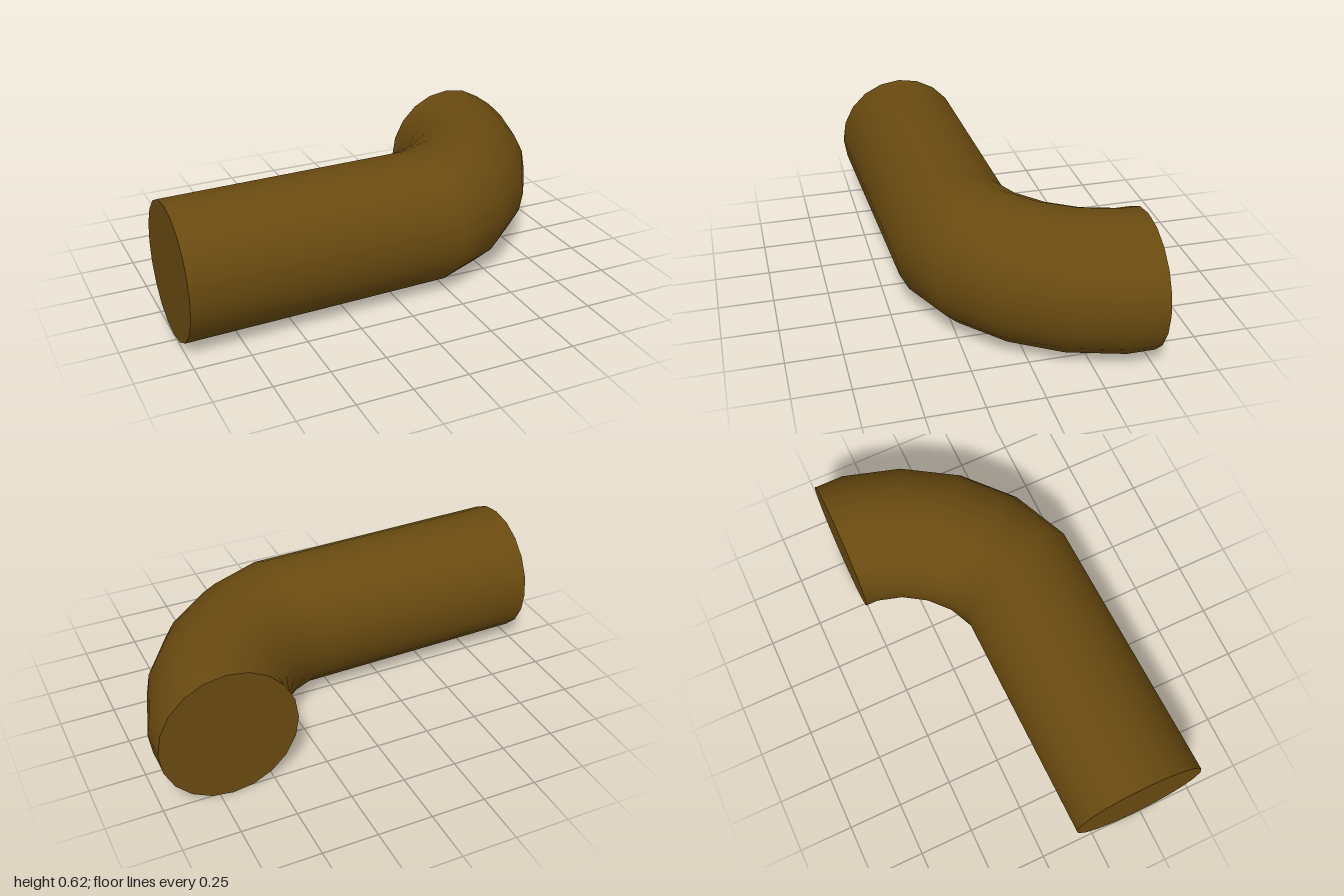
import * as THREE from 'three';

const SIDES = 20, RADIUS = 0.308;

// Each ring of the pipe: [inner x, inner z, outer x, outer z]
const RINGS = [
  [-1, -0.1, -1, 0.515],
  [0.09, -0.12, 0.27, 0.47],
  [0.2, -0.17, 0.54, 0.35],
  [0.29, -0.25, 0.76, 0.155],
  [0.355, -0.35, 0.915, -0.09],
  [0.388, -0.46, 1, -0.37],
  [0.388, -0.515, 1, -0.515],
];

// Smooth skin swept through the rings
function pipeGeometry() {
  const positions = [], indices = [];
  RINGS.forEach(([ix, iz, ox, oz], i) => {
    for (let j = 0; j < SIDES; j++) {
      const a = (j / SIDES) * Math.PI * 2;
      const t = (1 + Math.cos(a)) / 2;
      positions.push(ix + (ox - ix) * t, RADIUS * (1 + Math.sin(a)), iz + (oz - iz) * t);
      if (i === RINGS.length - 1) continue;
      const k = (j + 1) % SIDES;
      const p = i * SIDES, q = p + SIDES;
      indices.push(p + j, q + j, p + k, q + j, q + k, p + k);
    }
  });
  const geometry = new THREE.BufferGeometry();
  geometry.setAttribute('position', new THREE.Float32BufferAttribute(positions, 3));
  geometry.setIndex(indices);
  geometry.computeVertexNormals();
  return geometry;
}

export function createModel() {
  const group = new THREE.Group();
  group.name = 'bentPipe';
  const material = new THREE.MeshStandardMaterial({ color: 0x694a10 });

  const pipe = new THREE.Mesh(pipeGeometry(), material);
  pipe.name = 'pipe';
  group.add(pipe);

  // Flat discs closing both ends
  const addCap = (name, [ix, iz, ox, oz], turn) => {
    const cap = new THREE.Mesh(new THREE.CircleGeometry(RADIUS, SIDES), material);
    cap.name = name;
    cap.position.set((ix + ox) / 2, RADIUS, (iz + oz) / 2);
    cap.rotation.y = turn;
    group.add(cap);
  };
  addCap('longEndCap', RINGS[0], -Math.PI / 2);
  addCap('bentEndCap', RINGS[RINGS.length - 1], Math.PI);

  return group;
}
